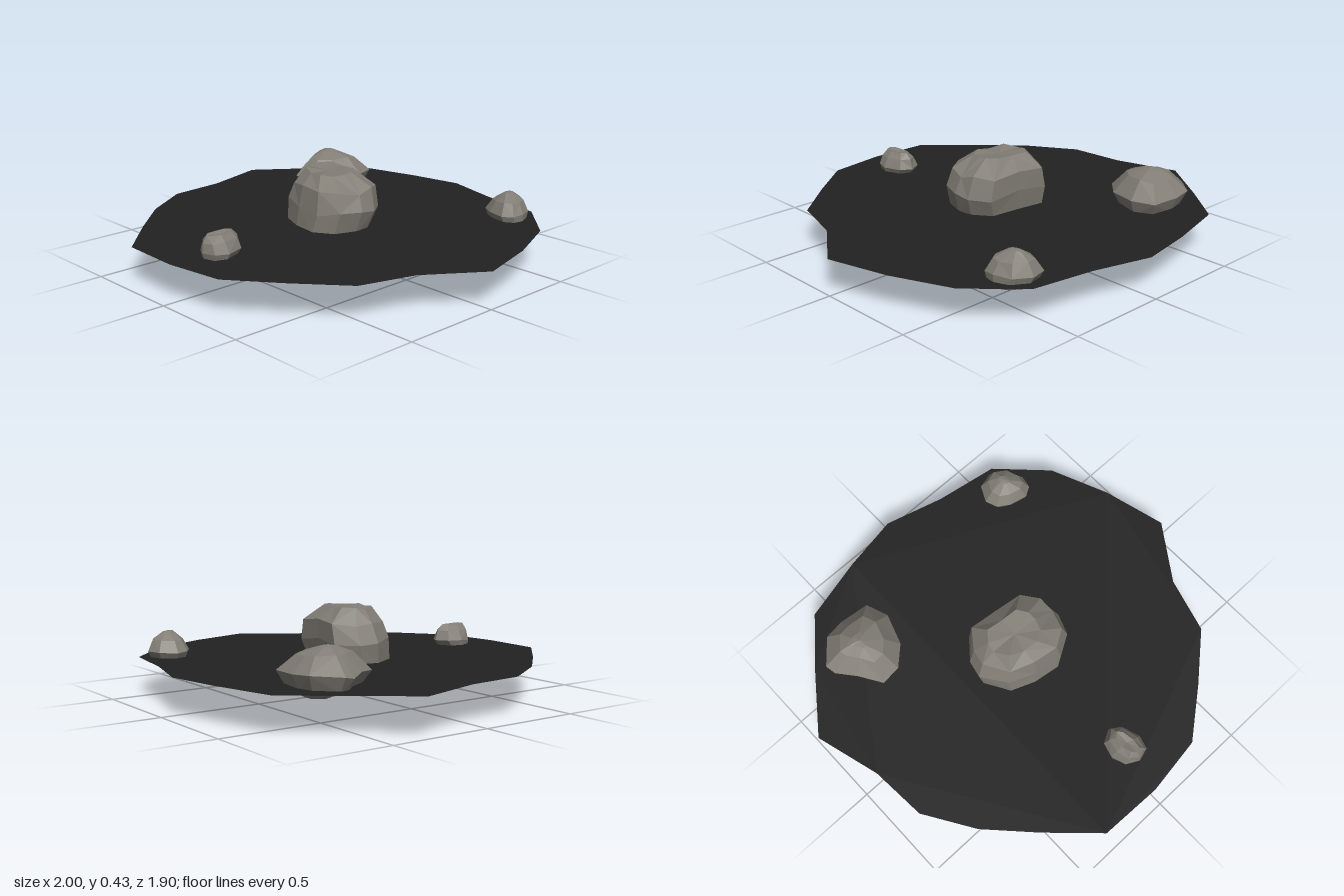
import * as THREE from 'three';

const stone = new THREE.MeshStandardMaterial({ color: 0x827e76, flatShading: true });
stone.name = 'stone grey';
const dark = new THREE.MeshStandardMaterial({ color: 0x222222, side: THREE.DoubleSide });
dark.name = 'charcoal';

// small seeded generator for uneven facets
function seeded(seed) {
  return () => {
    seed = (seed * 16807) % 2147483647;
    return seed / 2147483647;
  };
}

// Rock lofted from one outline [x, z], fitted into the box of every level
// [y, xMin, xMax, zMin, zMax], levels from the bottom up, closed by two tips [x, y, z].
function rock(name, outline, levels, bottom, top, seed) {
  const rnd = seeded(seed), n = outline.length, pos = [...bottom, ...top], index = [];
  const xs = outline.map(p => p[0]), zs = outline.map(p => p[1]);
  const x0 = Math.min(...xs), x1 = Math.max(...xs), z0 = Math.min(...zs), z1 = Math.max(...zs);
  const lerp = THREE.MathUtils.lerp;
  for (const [y, xa, xb, za, zb] of levels) {
    const rough = (xb - xa) * 0.06;
    for (const [x, z] of outline) {
      pos.push(
        lerp(xa, xb, (x - x0) / (x1 - x0)),
        y + (rnd() - 0.5) * rough,
        lerp(za, zb, (z - z0) / (z1 - z0)));
    }
  }
  const last = levels.length - 1;
  for (let i = 0; i < n; i++) {
    const j = (i + 1) % n, id = (k, m) => 2 + k * n + m;
    index.push(0, id(0, i), id(0, j), 1, id(last, j), id(last, i));
    for (let k = 0; k < last; k++) {
      const a = id(k, i), b = id(k, j), c = id(k + 1, j), d = id(k + 1, i);
      if ((i + k) % 2) index.push(a, d, c, a, c, b);
      else index.push(a, d, b, b, d, c);
    }
  }
  let geo = new THREE.BufferGeometry();
  geo.setAttribute('position', new THREE.Float32BufferAttribute(pos, 3));
  geo.setIndex(index);
  geo = geo.toNonIndexed();
  geo.computeVertexNormals();
  const mesh = new THREE.Mesh(geo, stone);
  mesh.name = name;
  return mesh;
}

export function createModel() {
  const group = new THREE.Group();
  group.name = 'rockPatch';

  // paper-thin ground sheet with a ragged rim, cutting through the rocks
  const rim = [
    [-0.02, -0.95], [0.27, -0.87], [0.58, -0.82], [0.80, -0.60], [0.92, -0.31],
    [1, 0], [0.81, 0.27], [0.73, 0.54], [0.51, 0.73], [0.28, 0.91],
    [-0.01, 0.95], [-0.32, 0.94], [-0.54, 0.73], [-0.74, 0.52], [-0.89, 0.28],
    [-0.91, 0], [-1, -0.32], [-0.79, -0.60], [-0.61, -0.82], [-0.30, -0.90],
  ];
  const shape = new THREE.Shape(rim.map(([x, z]) => new THREE.Vector2(x, -z)));
  const ground = new THREE.Mesh(new THREE.ShapeGeometry(shape).rotateX(-Math.PI / 2), dark);
  ground.name = 'groundSheet';
  ground.position.y = 0.175;
  group.add(ground);

  // big centre boulder, tapering to a point below
  group.add(rock('centreBoulder',
    [[-0.26, 0], [-0.24, -0.09], [-0.16, -0.19], [0, -0.17], [0.17, -0.155], [0.235, -0.06],
      [0.24, 0.03], [0.2, 0.14], [0.1, 0.2], [-0.05, 0.18], [-0.18, 0.13]],
    [[0.08, -0.16, 0.1, -0.1, 0.1], [0.16, -0.24, 0.2, -0.16, 0.2], [0.27, -0.255, 0.24, -0.18, 0.19],
      [0.36, -0.22, 0.21, -0.18, 0.17], [0.425, -0.155, 0.1, -0.1, 0.1]],
    [-0.02, 0, 0], [-0.02, 0.42, 0], 11));

  // flat wide rock, back on the -x side
  group.add(rock('wideRock',
    [[-0.75, -0.55], [-0.65, -0.66], [-0.55, -0.675], [-0.4, -0.66], [-0.36, -0.55],
      [-0.41, -0.4], [-0.5, -0.315], [-0.6, -0.305], [-0.67, -0.41], [-0.74, -0.5]],
    [[0.13, -0.6, -0.46, -0.6, -0.42], [0.16, -0.71, -0.39, -0.64, -0.36], [0.235, -0.75, -0.36, -0.675, -0.3],
      [0.31, -0.66, -0.44, -0.61, -0.38], [0.34, -0.6, -0.53, -0.54, -0.46]],
    [-0.54, 0.125, -0.52], [-0.56, 0.348, -0.5], 23));

  // small rock, back on the +x side
  group.add(rock('backPebble',
    [[0.42, -0.69], [0.46, -0.77], [0.54, -0.79], [0.62, -0.74], [0.65, -0.66],
      [0.64, -0.6], [0.59, -0.57], [0.5, -0.59], [0.44, -0.63]],
    [[0.13, 0.5, 0.61, -0.72, -0.62], [0.15, 0.45, 0.645, -0.76, -0.59], [0.205, 0.42, 0.65, -0.79, -0.57],
      [0.26, 0.46, 0.62, -0.76, -0.6], [0.295, 0.52, 0.56, -0.71, -0.65]],
    [0.55, 0.127, -0.67], [0.54, 0.3, -0.68], 37));

  // smallest rock, in front, pointed below
  group.add(rock('frontPebble',
    [[-0.055, 0.7], [-0.035, 0.63], [0.03, 0.595], [0.085, 0.63], [0.115, 0.72],
      [0.095, 0.785], [0.03, 0.805], [-0.03, 0.77]],
    [[0.15, -0.045, 0.095, 0.64, 0.79], [0.2, -0.055, 0.115, 0.595, 0.805],
      [0.25, -0.03, 0.09, 0.61, 0.8], [0.278, 0, 0.06, 0.64, 0.78]],
    [0.02, 0.1, 0.71], [0.03, 0.268, 0.71], 51));

  return group;
}
